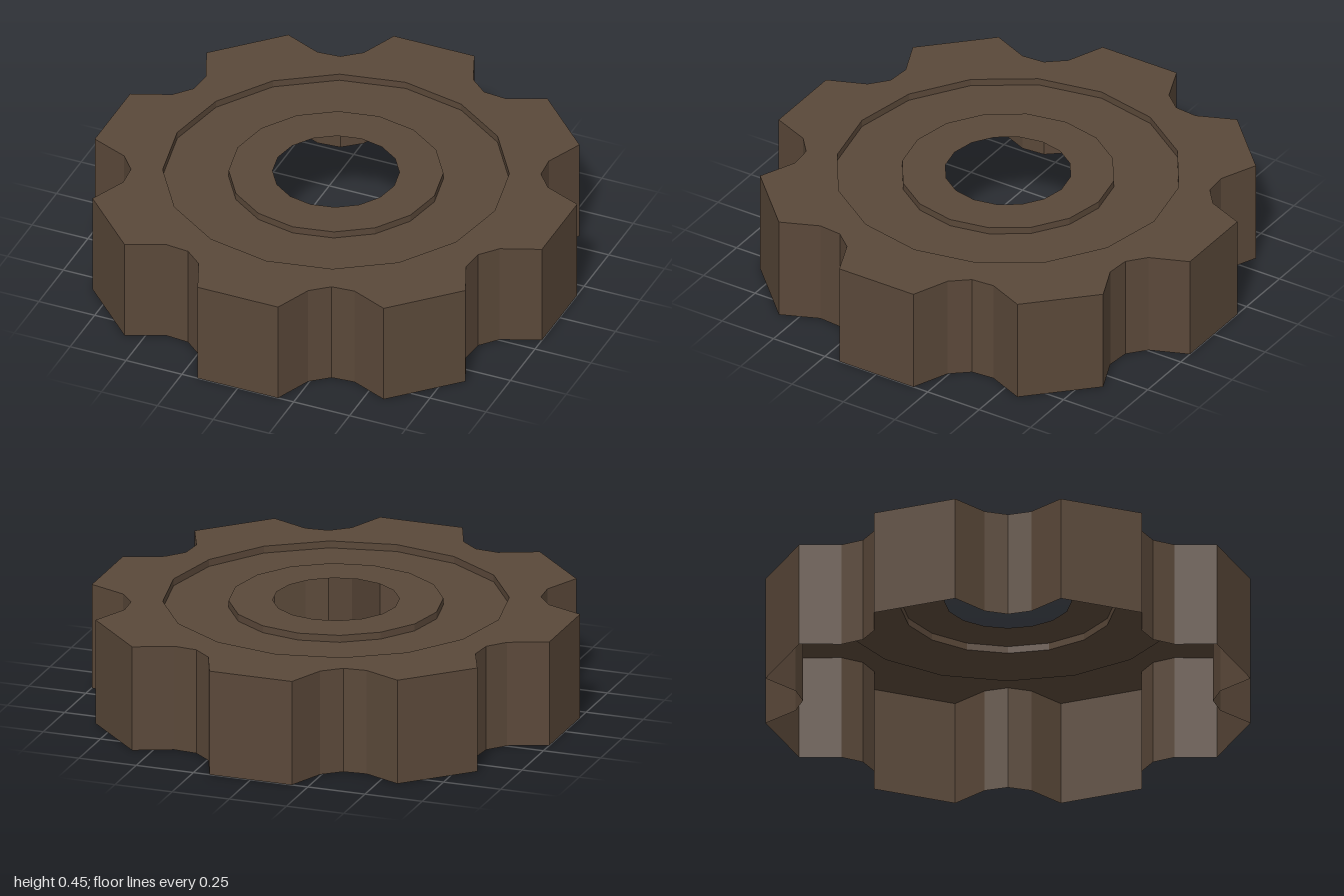
import * as THREE from 'three';

const HEIGHT = 0.45, GROOVE_Y = 0.42, TEETH = 8, SIDES = 16;
const HOLE_R = 0.26, HUB_R = 0.44, RIM_R = 0.71;

// One tooth pitch as [x, distance from centre]: flat tip, then a scooped valley
const PITCH = [[-0.18, 1], [0.18, 1], [0.245, 0.84], [0.321, 0.776], [0.421, 0.767]];

function gearOutline() {
  const points = [];
  for (let i = 0; i < TEETH; i++) {
    for (const [x, y] of PITCH) {
      // clockwise pitch, so each tooth turns clockwise too
      points.push(new THREE.Vector2(x, y).rotateAround(new THREE.Vector2(), -i * Math.PI * 2 / TEETH));
    }
  }
  return points.reverse(); // counter-clockwise
}

// Upright strip that follows a closed outline, facing outwards
function wallGeometry(outline, y0, y1) {
  const positions = [];
  outline.forEach((a, i) => {
    const b = outline[(i + 1) % outline.length];
    const a0 = [a.x, y0, -a.y], b0 = [b.x, y0, -b.y];
    const a1 = [a.x, y1, -a.y], b1 = [b.x, y1, -b.y];
    positions.push(...a0, ...b0, ...b1, ...a0, ...b1, ...a1);
  });
  const geometry = new THREE.BufferGeometry();
  geometry.setAttribute('position', new THREE.Float32BufferAttribute(positions, 3));
  geometry.computeVertexNormals();
  return geometry;
}

export function createModel() {
  const group = new THREE.Group();
  group.name = 'gear';

  const brown = new THREE.MeshStandardMaterial({ color: 0x5a4839, flatShading: true, side: THREE.DoubleSide });
  brown.name = 'dark brown';

  const add = (name, geometry) => {
    const mesh = new THREE.Mesh(geometry, brown);
    mesh.name = name;
    group.add(mesh);
  };

  const outline = gearOutline();

  // Toothed outer wall, open underneath
  add('toothedWall', wallGeometry(outline, 0, HEIGHT));

  // Flat top rim carrying the teeth
  const rim = new THREE.Shape(outline);
  const opening = [];
  for (let i = 0; i < SIDES; i++) {
    const a = i * Math.PI * 2 / SIDES;
    opening.push(new THREE.Vector2(RIM_R * Math.cos(a), RIM_R * Math.sin(a)));
  }
  rim.holes.push(new THREE.Path(opening));
  add('topRim', new THREE.ShapeGeometry(rim).rotateX(-Math.PI / 2).translate(0, HEIGHT, 0));

  // Sunken ring and raised hub around the axle hole
  const ring = (name, ...profile) =>
    add(name, new THREE.LatheGeometry(profile.map(([r, y]) => new THREE.Vector2(r, y)), SIDES));
  ring('groove', [RIM_R, HEIGHT], [RIM_R, GROOVE_Y], [HUB_R, GROOVE_Y], [HUB_R, HEIGHT]);
  ring('hub', [HUB_R, HEIGHT], [HOLE_R, HEIGHT]);

  return group;
}
